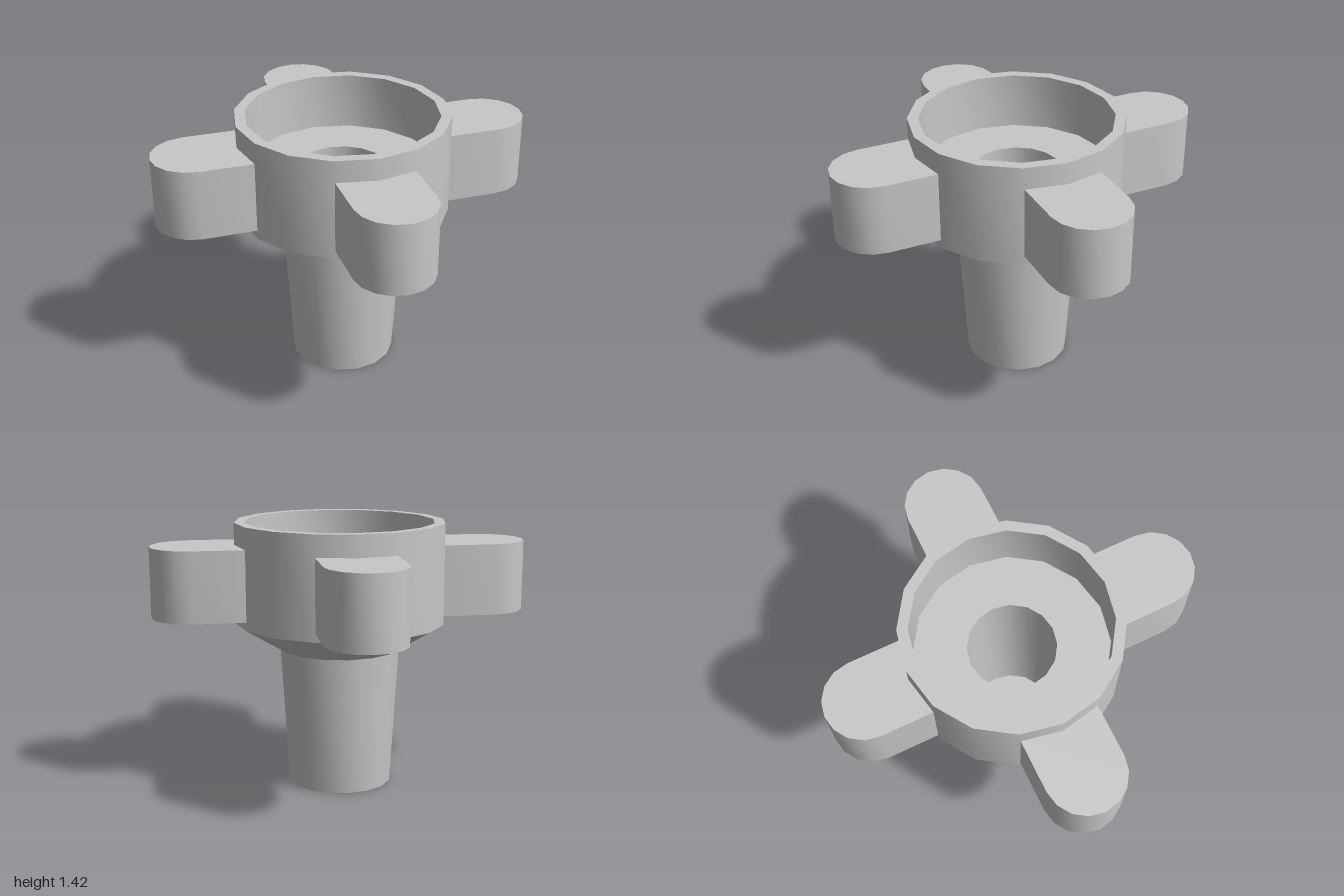
import * as THREE from 'three';
import { toCreasedNormals } from 'three/addons/utils/BufferGeometryUtils.js';

const SIDES = 16;
const CREASE = 0.45; // smooth around the facets, sharp at the rims

export function createModel() {
  const model = new THREE.Group();
  model.name = 'handKnob';
  const grey = new THREE.MeshStandardMaterial({ color: 0xc8c8c8 });
  grey.name = 'plain grey';

  function add(geometry, name) {
    const mesh = new THREE.Mesh(toCreasedNormals(geometry, CREASE), grey);
    mesh.name = name;
    model.add(mesh);
    return mesh;
  }

  // Tapered stem, flared cup and central bore in one closed profile
  const profile = [
    [0, 0], [0.278, 0], [0.322, 0.74], [0.56, 0.885], [0.56, 1.42],
    [0.504, 1.42], [0.504, 1.12], [0.23, 1.12], [0.23, 0.06], [0, 0.06],
  ].map(([r, y]) => new THREE.Vector2(r, y));
  add(new THREE.LatheGeometry(profile, SIDES), 'stemAndCup');

  // Four round-ended grips, rooted inside the cup wall
  const halfWidth = 0.206;
  const tipCentre = 1 - halfWidth;
  const outline = new THREE.Shape();
  outline.moveTo(0.51, -halfWidth);
  outline.lineTo(tipCentre, -halfWidth);
  for (let i = 1; i <= 8; i++) {
    const a = -Math.PI / 2 + (i * Math.PI) / 8;
    outline.lineTo(tipCentre + halfWidth * Math.cos(a), halfWidth * Math.sin(a));
  }
  outline.lineTo(0.51, halfWidth);
  const grip = new THREE.ExtrudeGeometry(outline, { depth: 0.375, bevelEnabled: false });
  grip.rotateX(-Math.PI / 2).translate(0, 0.93, 0);

  ['leftGrip', 'backGrip', 'rightGrip', 'frontGrip'].forEach((name, i) => {
    add(grip, name).rotation.y = (i * Math.PI) / 2;
  });

  return model;
}
